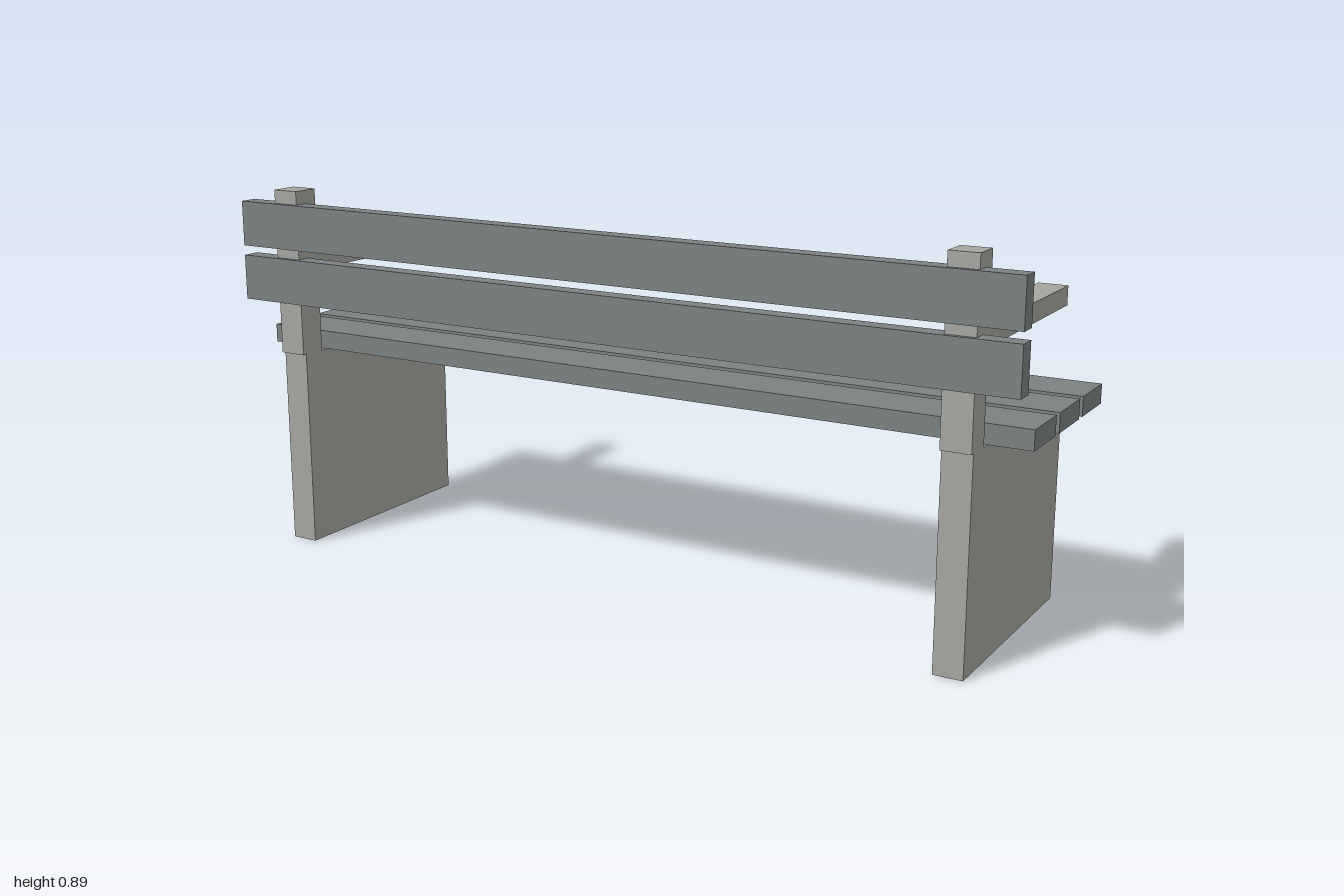
import * as THREE from 'three';

const concrete = new THREE.MeshStandardMaterial({ color: 0xa5a5a0 });
concrete.name = 'pale grey concrete';
const timber = new THREE.MeshStandardMaterial({ color: 0x7b8182 });
timber.name = 'slate grey timber';

// Box given by its extents along each axis
function block(name, material, [x0, x1], [y0, y1], [z0, z1]) {
  const mesh = new THREE.Mesh(new THREE.BoxGeometry(x1 - x0, y1 - y0, z1 - z0), material);
  mesh.position.set((x0 + x1) / 2, (y0 + y1) / 2, (z0 + z1) / 2);
  mesh.name = name;
  return mesh;
}

export function createModel() {
  const bench = new THREE.Group();
  bench.name = 'bench';

  // End supports: leg panel, back post and armrest on each side
  for (const [side, x] of [['left', 0.868], ['right', -0.868]]) {
    const support = new THREE.Group();
    support.name = side + 'Support';
    const width = [x - 0.034, x + 0.034];
    support.add(
      block('legPanel', concrete, width, [0, 0.485], [-0.288, 0.269]),
      block('backPost', concrete, width, [0.485, 0.89], [0.211, 0.279]),
      block('armrest', concrete, width, [0.69, 0.735], [-0.288, 0.211])
    );
    bench.add(support);
  }

  // Three seat slats
  for (const z of [-0.189, -0.033, 0.124]) {
    bench.add(block('seatSlat', timber, [-1, 1], [0.485, 0.53], [z - 0.067, z + 0.067]));
  }

  // Two backrest slats, let into the posts
  for (const y of [0.668, 0.802]) {
    bench.add(block('backSlat', timber, [-1, 1], [y - 0.055, y + 0.055], [0.246, 0.29]));
  }

  return bench;
}
